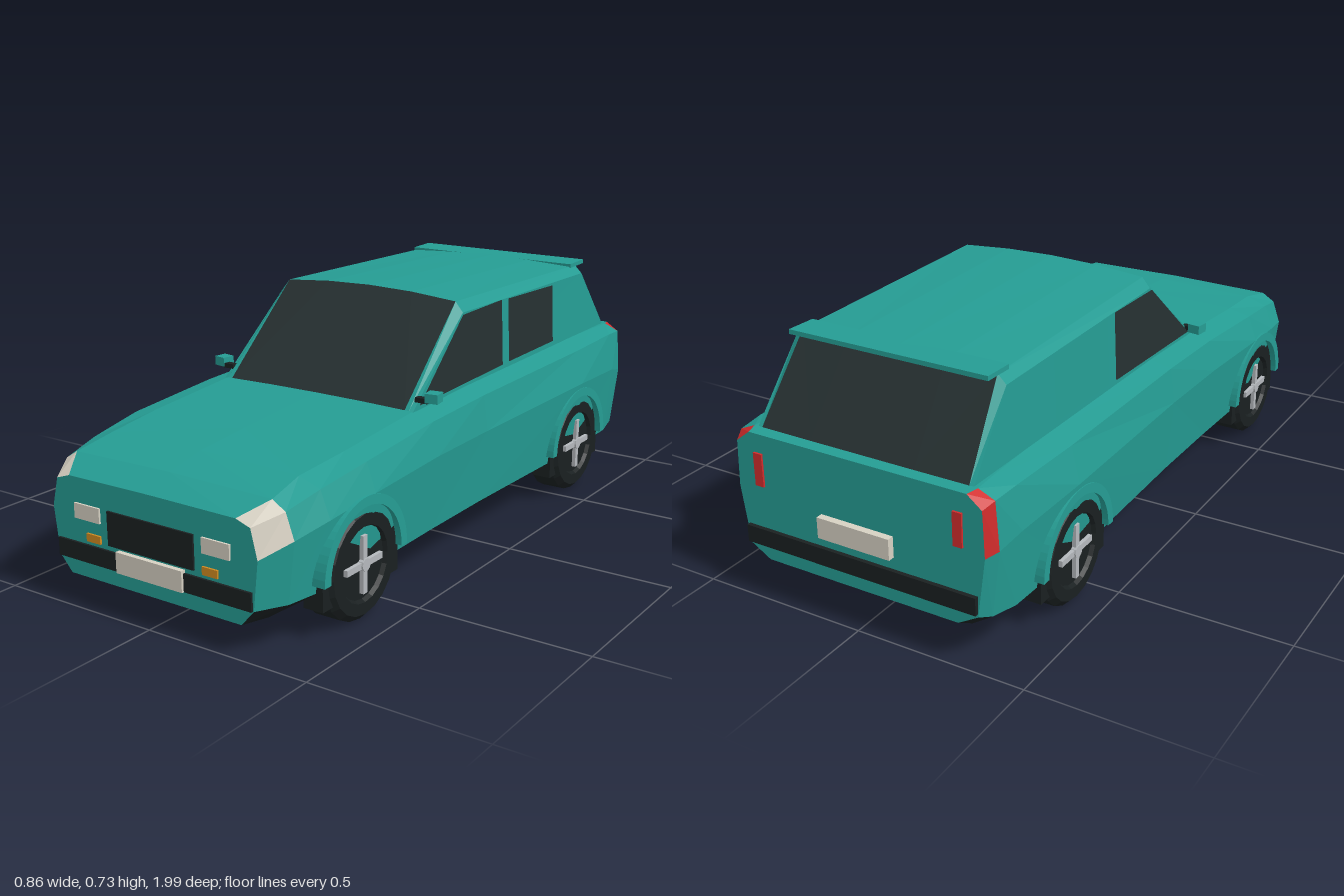
import * as THREE from 'three';

const mat = (name, color, side = THREE.FrontSide) => {
  const m = new THREE.MeshStandardMaterial({ color, side, flatShading: true });
  m.name = name;
  return m;
};
const teal = mat('teal paint', 0x259c93);
const glass = mat('dark glass', 0x263031);
const black = mat('black rubber', 0x1a2021);
const cream = mat('cream lens', 0xd6d0c2);
const orange = mat('orange lens', 0xd08a20);
const red = mat('red lens', 0xd22c2c);
const silver = mat('silver rim', 0xb4b8bc);

function addMesh(parent, name, geometry, material) {
  const mesh = new THREE.Mesh(geometry, material);
  mesh.name = name;
  parent.add(mesh);
  return mesh;
}

function box(parent, name, material, x0, x1, y0, y1, z0, z1) {
  const mesh = addMesh(parent, name, new THREE.BoxGeometry(Math.abs(x1 - x0), y1 - y0, Math.abs(z1 - z0)), material);
  mesh.position.set((x0 + x1) / 2, (y0 + y1) / 2, (z0 + z1) / 2);
  return mesh;
}

// Triangle list to flat-shaded geometry
function triangles(list) {
  const g = new THREE.BufferGeometry();
  g.setAttribute('position', new THREE.Float32BufferAttribute(list.flat(), 3));
  g.computeVertexNormals();
  return g;
}

// Joins mirrored half sections from front to back; pick(segment, edge) names each strip
function loft(parent, sections, pick, capName) {
  const h = sections[0].pts.length;
  const rings = sections.map(({ z, pts }) => [
    ...pts.map(([x, y]) => [x, y, z]),
    ...pts.filter(([x]) => x > 0).reverse().map(([x, y]) => [-x, y, z]),
  ]);
  const n = rings[0].length;
  const parts = new Map();
  const put = ([name, material], ...tri) => {
    if (!parts.has(name)) parts.set(name, { material, list: [] });
    parts.get(name).list.push(...tri);
  };
  for (let i = 0; i < rings.length - 1; i++) {
    for (let j = 0; j < n; j++) {
      const edge = j < h - 1 ? j : 2 * h - 3 - j;
      if (edge < 0) continue;
      const k = (j + 1) % n;
      const a = rings[i][j], b = rings[i + 1][j], c = rings[i + 1][k], d = rings[i][k];
      // Mirror the diagonal on the other side
      if (j < h - 1) put(pick(i, edge), a, b, c, a, c, d);
      else put(pick(i, edge), a, b, d, b, c, d);
    }
  }
  if (capName) {
    [rings[0], rings[rings.length - 1]].forEach((ring, end) => {
      const mid = [0, 0.25, ring[0][2]];
      ring.forEach((p, j) => {
        const q = ring[(j + 1) % n];
        put(capName, mid, ...(end ? [q, p] : [p, q]));
      });
    });
  }
  parts.forEach(({ material, list }, name) => addMesh(parent, name, triangles(list), material));
}

function buildBody(car) {
  // z, floor y, floor x, sill x y, waist x y, shoulder x y, deck edge x y, deck centre y
  const rows = [
    [0.98, 0.085, 0.29, 0.33, 0.13, 0.345, 0.265, 0.325, 0.345, 0.28, 0.36, 0.362],
    [0.90, 0.08, 0.31, 0.375, 0.13, 0.395, 0.30, 0.37, 0.37, 0.33, 0.395, 0.40],
    [0.78, 0.08, 0.32, 0.395, 0.13, 0.415, 0.32, 0.385, 0.395, 0.32, 0.418, 0.425],
    [0.60, 0.08, 0.33, 0.405, 0.13, 0.428, 0.34, 0.40, 0.42, 0.33, 0.435, 0.441],
    [0.28, 0.08, 0.33, 0.397, 0.13, 0.42, 0.35, 0.40, 0.445, 0.33, 0.46, 0.466],
    [0.00, 0.08, 0.33, 0.395, 0.13, 0.415, 0.35, 0.40, 0.455, 0.33, 0.472, 0.475],
    [-0.60, 0.08, 0.33, 0.405, 0.13, 0.43, 0.36, 0.405, 0.465, 0.33, 0.482, 0.485],
    [-0.86, 0.08, 0.33, 0.395, 0.13, 0.417, 0.35, 0.40, 0.47, 0.34, 0.485, 0.485],
    [-0.945, 0.10, 0.32, 0.38, 0.14, 0.403, 0.33, 0.393, 0.465, 0.345, 0.486, 0.486],
    [-0.98, 0.115, 0.30, 0.36, 0.15, 0.383, 0.32, 0.378, 0.45, 0.335, 0.484, 0.484],
  ];
  const sections = rows.map(([z, yb, x1, x2, y2, x3, y3, x4, y4, x5, y5, yc]) => ({
    z, pts: [[0, yb], [x1, yb], [x2, y2], [x3, y3], [x4, y4], [x5, y5], [0, yc]],
  }));
  loft(car, sections, (i, e) => {
    if (e < 2) return ['underbody', black];
    if (e === 3 || e === 4) {
      if (i === 0) return ['headlights', cream];
      if (i === rows.length - 2) return ['tailLights', red];
    }
    return ['body', teal];
  }, ['body', teal]);
}

function buildCabin(car) {
  const sections = [
    { z: 0.28, pts: [[0.335, 0.46], [0.322, 0.463], [0.308, 0.463], [0.16, 0.466], [0, 0.467]] },
    { z: 0.00, pts: [[0.335, 0.465], [0.325, 0.69], [0.30, 0.72], [0.15, 0.732], [0, 0.736]] },
    { z: -0.78, pts: [[0.335, 0.465], [0.325, 0.685], [0.30, 0.71], [0.15, 0.718], [0, 0.72]] },
    { z: -0.945, pts: [[0.337, 0.482], [0.333, 0.484], [0.32, 0.485], [0.16, 0.486], [0, 0.486]] },
  ];
  loft(car, sections, (i, e) => {
    if (e >= 2 && i === 0) return ['windshield', glass];
    if (e >= 2 && i === 2) return ['rearWindow', glass];
    return ['cabin', teal];
  });

  // Side windows follow the lean of the cabin wall
  const panes = {
    frontSideWindow: [[0.25, 0.474], [-0.225, 0.49], [-0.225, 0.69], [0.005, 0.685]],
    rearSideWindow: [[-0.265, 0.492], [-0.56, 0.498], [-0.56, 0.68], [-0.265, 0.687]],
  };
  for (const [name, pane] of Object.entries(panes)) {
    for (const s of [1, -1]) {
      const [a, b, c, d] = pane.map(([z, y]) => [s * (0.339 - (y - 0.465) * 0.0444), y, z]);
      const list = s > 0 ? [a, b, c, a, c, d] : [a, c, b, a, d, c];
      addMesh(car, name, triangles(list), s < 0 && name === 'rearSideWindow' ? teal : glass);
    }
  }

  // Roof spoiler
  const spoiler = box(car, 'spoiler', teal, -0.305, 0.305, 0.708, 0.721, -0.735, -0.83);
  spoiler.rotation.x = 0.03;
}

function buildWheel(parent, s, z) {
  const wheel = new THREE.Group();
  wheel.name = 'wheel';
  const profile = [[0, -0.055], [0.135, -0.055], [0.155, -0.038], [0.155, 0.038], [0.138, 0.055],
    [0.105, 0.055], [0.098, 0.044], [0, 0.044]].map(([r, y]) => new THREE.Vector2(r, y));
  const tyre = new THREE.LatheGeometry(profile, 20);
  tyre.rotateZ(-Math.PI / 2);
  addMesh(wheel, 'tyre', tyre, black);
  box(wheel, 'spokes', silver, 0.04, 0.056, -0.08, 0.08, -0.009, 0.009);
  box(wheel, 'spokes', silver, 0.04, 0.055, -0.009, 0.009, -0.08, 0.08);
  const hub = addMesh(wheel, 'hub', new THREE.CylinderGeometry(0.018, 0.018, 0.02, 10), silver);
  hub.rotation.z = Math.PI / 2;
  hub.position.x = 0.05;
  wheel.position.set(s * 0.367, 0.157, z);
  if (s < 0) wheel.rotation.y = Math.PI;
  parent.add(wheel);

  // Dark wheel well and painted arch
  const well = new THREE.Shape();
  well.moveTo(-0.17, -0.075).lineTo(0.17, -0.075).lineTo(0.17, 0);
  well.absarc(0, 0, 0.17, 0, Math.PI, false);
  const arch = new THREE.Shape();
  arch.absarc(0, 0, 0.187, 0, Math.PI, false);
  arch.absarc(0, 0, 0.16, Math.PI, 0, true);
  for (const [name, shape, x, m] of [['wheelWell', well, 0.411, black], ['wheelArch', arch, 0.43, teal]]) {
    const g = new THREE.ExtrudeGeometry(shape, { depth: 0.06, bevelEnabled: false, curveSegments: 14 });
    g.rotateY(Math.PI / 2);
    addMesh(parent, name, g, m).position.set(s > 0 ? x - 0.06 : -x, 0.157, z);
  }
}

export function createModel() {
  const car = new THREE.Group();
  car.name = 'car';
  buildBody(car);
  buildCabin(car);

  // Front and rear centre details
  box(car, 'grille', black, -0.145, 0.145, 0.195, 0.29, 0.978, 0.986);
  box(car, 'frontBumper', black, -0.327, 0.327, 0.13, 0.18, 0.975, 0.987);
  box(car, 'frontPlate', cream, -0.112, 0.112, 0.13, 0.188, 0.98, 0.994);
  box(car, 'rearBumper', black, -0.36, 0.36, 0.16, 0.21, -0.975, -0.992);
  box(car, 'rearPlate', cream, -0.112, 0.112, 0.245, 0.305, -0.978, -1.0);

  for (const s of [1, -1]) {
    box(car, 'fogLamp', cream, s * 0.173, s * 0.262, 0.248, 0.29, 0.978, 0.986);
    box(car, 'indicator', orange, s * 0.173, s * 0.222, 0.191, 0.213, 0.978, 0.986);
    box(car, 'reflector', red, s * 0.295, s * 0.322, 0.335, 0.43, -0.978, -0.986);
    // Door mirrors
    box(car, 'mirrorArm', black, s * 0.325, s * 0.365, 0.483, 0.497, 0.235, 0.255);
    const mirror = box(car, 'mirror', teal, s * 0.355, s * 0.394, 0.486, 0.513, 0.215, 0.255);
    mirror.rotation.y = s * 0.15;
    for (const z of [0.64, -0.595]) buildWheel(car, s, z);
  }
  return car;
}
